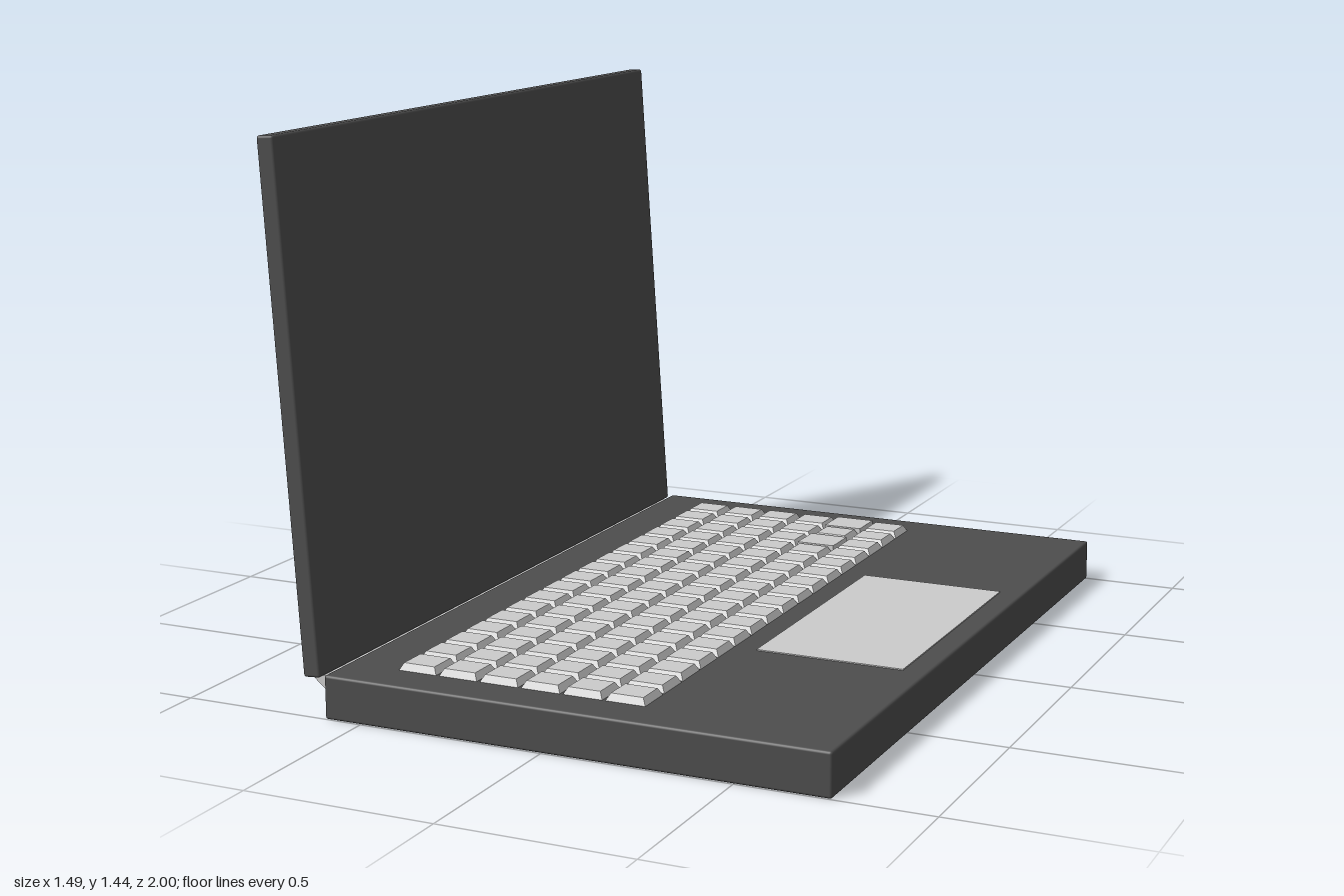
import * as THREE from 'three';
import { RoundedBoxGeometry } from 'three/addons/geometries/RoundedBoxGeometry.js';

const DARK = new THREE.MeshStandardMaterial({ color: 0x4d4d4d });
const GREY = new THREE.MeshStandardMaterial({ color: 0xcccccc });
const KEY_GREY = new THREE.MeshStandardMaterial({ color: 0xcccccc, flatShading: true });

const BASE_TOP = 0.113;

function addMesh(parent, name, geometry, material, x = 0, y = 0, z = 0) {
  const mesh = new THREE.Mesh(geometry, material);
  mesh.name = name;
  mesh.position.set(x, y, z);
  parent.add(mesh);
  return mesh;
}

// Box whose upper face is drawn in on all four sides
function keyGeometry(width, depth, height, inset) {
  const geometry = new THREE.BoxGeometry(width, height, depth);
  const p = geometry.attributes.position;
  for (let i = 0; i < p.count; i++) {
    if (p.getY(i) > 0) {
      p.setX(i, p.getX(i) - Math.sign(p.getX(i)) * inset);
      p.setZ(i, p.getZ(i) - Math.sign(p.getZ(i)) * inset);
    }
  }
  geometry.computeVertexNormals();
  return geometry;
}

export function createModel() {
  const laptop = new THREE.Group();
  laptop.name = 'laptop';

  // Base slab
  addMesh(laptop, 'base', new RoundedBoxGeometry(1.345, BASE_TOP, 2, 2, 0.007), DARK, 0.0715, BASE_TOP / 2, 0);

  // Lid, leaning slightly backwards
  const lid = addMesh(laptop, 'screenLid', new RoundedBoxGeometry(0.047, 1.337, 2, 2, 0.007), DARK, -0.68, 0.769, 0);
  lid.rotation.z = 0.064;

  // Wedge hinge between the lid and the base
  const profile = new THREE.Shape([
    new THREE.Vector2(-0.66, 0.102),
    new THREE.Vector2(-0.595, 0.05),
    new THREE.Vector2(-0.595, 0.102),
  ]);
  addMesh(laptop, 'hinge', new THREE.ExtrudeGeometry(profile, { depth: 1.94, bevelEnabled: false }), GREY, 0, 0, -0.97);

  // Keyboard: 6 rows of 17 tapered keys, two of them with a broad top
  const keyboard = new THREE.Group();
  keyboard.name = 'keyboard';
  laptop.add(keyboard);
  const taperedKey = keyGeometry(0.11, 0.102, 0.022, 0.012);
  const broadKey = keyGeometry(0.112, 0.106, 0.022, 0.001);
  for (let row = 0; row < 6; row++) {
    for (let column = 0; column < 17; column++) {
      const broad = row === 4 && (column === 0 || column === 2);
      addMesh(keyboard, 'key', broad ? broadKey : taperedKey, KEY_GREY,
        -0.402 + row * 0.1142, BASE_TOP + 0.007, -0.843 + column * 0.1051);
    }
  }

  // Trackpad, almost flush with the base
  addMesh(laptop, 'trackpad', new THREE.BoxGeometry(0.395, 0.006, 0.755), GREY, 0.483, BASE_TOP, -0.003);

  return laptop;
}
